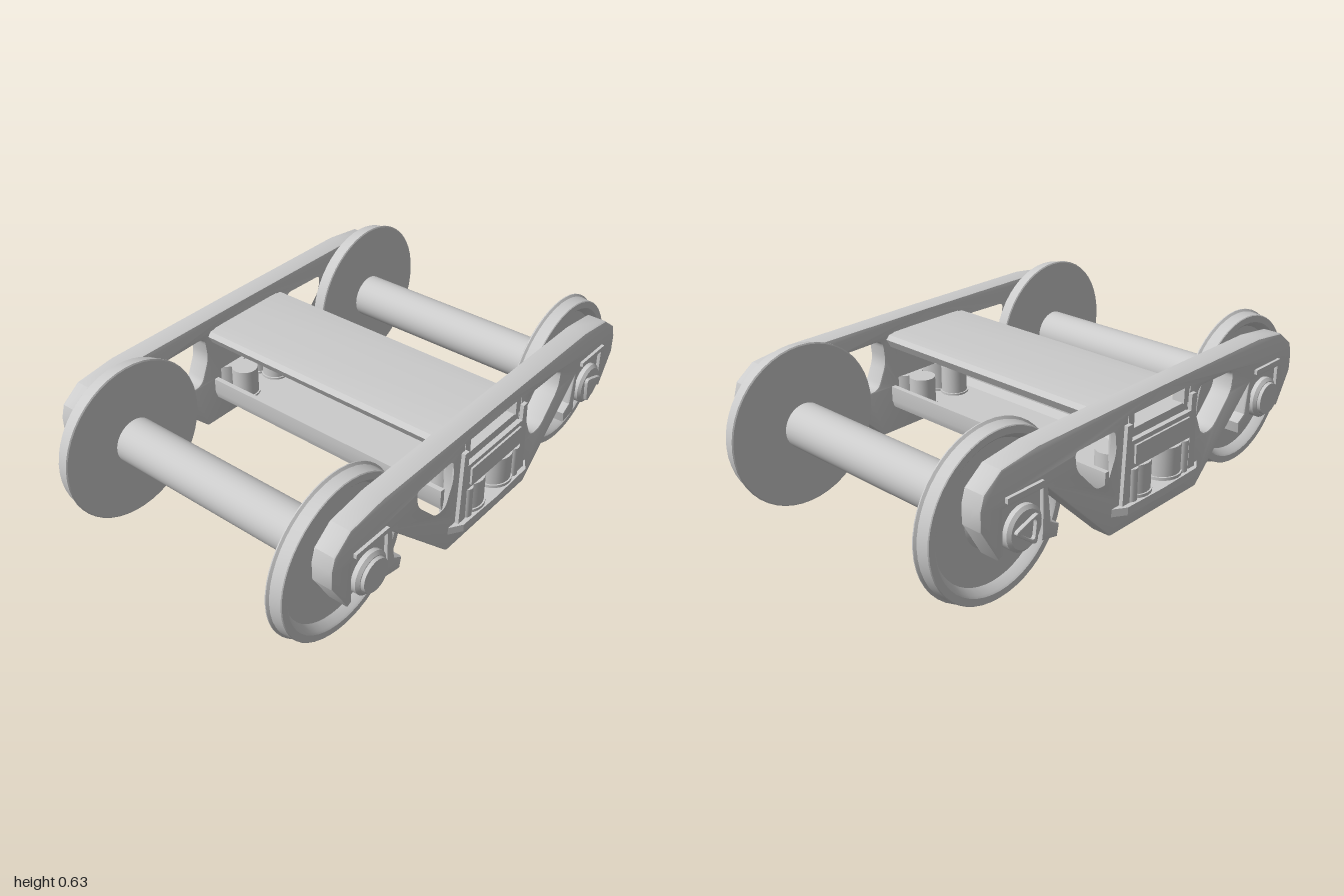
import * as THREE from 'three';
import { toCreasedNormals } from 'three/addons/utils/BufferGeometryUtils.js';

const AXLE_Z = 0.685, AXLE_Y = 0.32;
const mat = new THREE.MeshStandardMaterial({ color: 0xcccccc });

function add(parent, name, geo, x = 0, y = 0, z = 0) {
  const m = new THREE.Mesh(geo, mat);
  m.name = name;
  m.position.set(x, y, z);
  parent.add(m);
  return m;
}
const vecs = (pts) => pts.map(([a, b]) => new THREE.Vector2(a, b));
const box = (w, h, d) => new THREE.BoxGeometry(w, h, d);
const cylX = (r0, r1, len, seg = 32) => new THREE.CylinderGeometry(r1, r0, len, seg).rotateZ(-Math.PI / 2);

// Complete a half profile (u >= 0) by mirroring it
function mirrored(half) {
  return [...half, ...half.slice().reverse().filter(([u]) => u !== 0).map(([u, v]) => [-u, v])];
}

// Polygon with rounded corners
function rounded(pts, r, target = new THREE.Shape()) {
  const p = vecs(pts);
  p.forEach((c, i) => {
    const prev = p[(i + p.length - 1) % p.length], next = p[(i + 1) % p.length];
    const toward = (q) => c.clone().add(q.clone().sub(c).setLength(Math.min(r, q.distanceTo(c) * 0.45)));
    const a = toward(prev), b = toward(next);
    if (i === 0) target.moveTo(a.x, a.y); else target.lineTo(a.x, a.y);
    target.quadraticCurveTo(c.x, c.y, b.x, b.y);
  });
  target.closePath();
  return target;
}

// Extrude a (z, y) profile along x from x0 to x1
function extrudeX(shape, x0, x1, bevel = 0) {
  const g = new THREE.ExtrudeGeometry(shape, {
    depth: x1 - x0 - 2 * bevel, bevelEnabled: bevel > 0, bevelSize: bevel,
    bevelThickness: bevel, bevelOffset: -bevel, bevelSegments: 2, curveSegments: 5,
  });
  return toCreasedNormals(g.translate(0, 0, x0 + bevel).rotateY(Math.PI / 2), 0.6);
}

// Side frame plate with its journal bays and windows
function frameGeometry() {
  const shape = new THREE.Shape(vecs(mirrored([
    [0, 0.58], [0.62, 0.578], [0.78, 0.557], [0.855, 0.5], [0.87, 0.45], [0.87, 0.38], [0.795, 0.25],
    [0.775, 0.26], [0.775, 0.42], [0.595, 0.42], [0.595, 0.27], [0.6, 0.235], [0.525, 0.22],
    [0.515, 0.265], [0.555, 0.29], [0.57, 0.41], [0.25, 0.1], [0, 0.1],
  ])));
  for (const s of [1, -1]) {
    const win = [[0.455, 0.5], [0.235, 0.505], [0.225, 0.41], [0.27, 0.305], [0.335, 0.305], [0.445, 0.42]];
    shape.holes.push(rounded(win.map(([u, v]) => [u * s, v]), 0.03, new THREE.Path()));
  }
  const middle = mirrored([[0, 0.535], [0.185, 0.535], [0.185, 0.47], [0.17, 0.44], [0.17, 0.3], [0.19, 0.195], [0, 0.195]]);
  shape.holes.push(new THREE.Path(vecs(middle)));
  return extrudeX(shape, 0.545, 0.63, 0.008);
}

// Bearing with adapter; the end cap is round or a rounded triangular ring
function addBearing(side, z, triangular, flip) {
  const g = new THREE.Group();
  g.name = 'bearing';
  g.position.set(0, AXLE_Y, z);
  side.add(g);
  add(g, 'bearingAdapter', box(0.055, 0.11, 0.18), 0.588, 0.05);
  add(g, 'bearingLedge', box(0.02, 0.018, 0.165), 0.632, 0.13);
  add(g, 'bearingCup', cylX(0.08, 0.08, 0.085), 0.59);
  add(g, 'bearingCollar', cylX(0.08, 0.068, 0.01), 0.6375);
  if (!triangular) {
    add(g, 'roundCap', cylX(0.066, 0.062, 0.02), 0.645);
    return;
  }
  const tri = [[-0.05, 0.05], [0.068, 0.012], [-0.035, -0.066]];
  const scaled = (k) => tri.map(([u, v]) => [u * k * flip, v * k]);
  const ring = rounded(scaled(1), 0.025);
  ring.holes.push(rounded(scaled(0.68), 0.02, new THREE.Path()));
  add(g, 'triangularCap', extrudeX(ring, 0.635, 0.656, 0.003));
}

// Everything on one side; triZ is the end that carries the triangular cap
function sideAssembly(name, triZ) {
  const side = new THREE.Group();
  side.name = name;
  add(side, 'sideFrame', frameGeometry());

  // Projecting sill under the springs, tapering in plan
  const plan = new THREE.Shape(vecs(mirrored([[0, 0.56], [0.25, 0.56], [0.25, 0.63], [0.2, 0.662], [0, 0.667]])));
  const toPlan = new THREE.Matrix4().makeBasis(
    new THREE.Vector3(0, 0, 1), new THREE.Vector3(1, 0, 0), new THREE.Vector3(0, 1, 0));
  const sill = new THREE.ExtrudeGeometry(plan, { depth: 0.03, bevelEnabled: false });
  add(side, 'springSill', sill.applyMatrix4(toPlan), 0, 0.175, 0);
  for (const s of [1, -1]) {
    // Column guides beside the middle window
    const guide = new THREE.Shape(vecs([[0.17, 0.2], [0.21, 0.2], [0.195, 0.5], [0.17, 0.5]].map(([u, v]) => [u * s, v])));
    add(side, 'columnGuide', extrudeX(guide, 0.6, 0.645));
    // Spring group
    for (const [x, r] of [[0.585, 0.07], [0.485, 0.052]]) {
      add(side, 'spring', new THREE.CylinderGeometry(r, r, 0.13, 24), x, 0.265, s * 0.088);
      add(side, 'springSeat', new THREE.CylinderGeometry(r + 0.006, r + 0.006, 0.012, 24), x, 0.213, s * 0.088);
    }
    add(side, 'outerSpring', new THREE.CylinderGeometry(0.024, 0.024, 0.13, 16), 0.63, 0.265, s * 0.148);
    addBearing(side, s * AXLE_Z, s === triZ, -triZ);
  }

  // Bolster end resting on the springs
  add(side, 'bolsterEnd', box(0.08, 0.14, 0.34), 0.586, 0.4);
  add(side, 'bolsterEndFace', box(0.03, 0.105, 0.35), 0.63, 0.385);
  add(side, 'bolsterEndPad', box(0.01, 0.07, 0.31), 0.648, 0.385);
  for (const s of [1, -1]) add(side, 'bolsterStop', box(0.05, 0.06, 0.03), 0.605, 0.497, s * 0.158);
  return side;
}

// Axle with two flanged, dished wheels
function wheelset(name, z) {
  const g = new THREE.Group();
  g.name = name;
  g.position.set(0, AXLE_Y, z);
  add(g, 'axle', cylX(0.088, 0.088, 0.95, 40));
  const profile = vecs([[0, 0.466], [0.31, 0.466], [0.315, 0.469], [0.315, 0.473], [0.307, 0.48], [0.303, 0.523],
    [0.3, 0.526], [0.275, 0.526], [0.268, 0.52], [0.252, 0.492], [0.12, 0.492], [0.1, 0.505], [0, 0.505]]);
  for (const turn of [0, Math.PI]) {
    const wheel = toCreasedNormals(new THREE.LatheGeometry(profile, 48).rotateZ(-Math.PI / 2), 0.5);
    add(g, 'wheel', wheel).rotation.y = turn;
  }
  return g;
}

export function createModel() {
  const truck = new THREE.Group();
  truck.name = 'railTruck';

  truck.add(wheelset('frontWheelset', AXLE_Z), wheelset('rearWheelset', -AXLE_Z));

  const left = sideAssembly('leftSide', -1);
  const right = sideAssembly('rightSide', 1);
  right.rotation.y = Math.PI;
  truck.add(left, right);

  // Upper bolster: a shallow inverted channel
  const bolster = new THREE.Shape(vecs(mirrored([[0, 0.528], [0.14, 0.528], [0.2, 0.522], [0.215, 0.505],
    [0.195, 0.47], [0.105, 0.47], [0.14, 0.515], [0, 0.515]])));
  add(truck, 'bolster', extrudeX(bolster, -0.55, 0.55));

  // Lower spring plank: a shallow trough
  const plank = new THREE.Shape(vecs(mirrored([[0, 0.195], [0.16, 0.195], [0.19, 0.21], [0.2, 0.24], [0.2, 0.3],
    [0.18, 0.3], [0.18, 0.24], [0.16, 0.212], [0, 0.21]])));
  add(truck, 'springPlank', extrudeX(plank, -0.56, 0.56));
  return truck;
}
